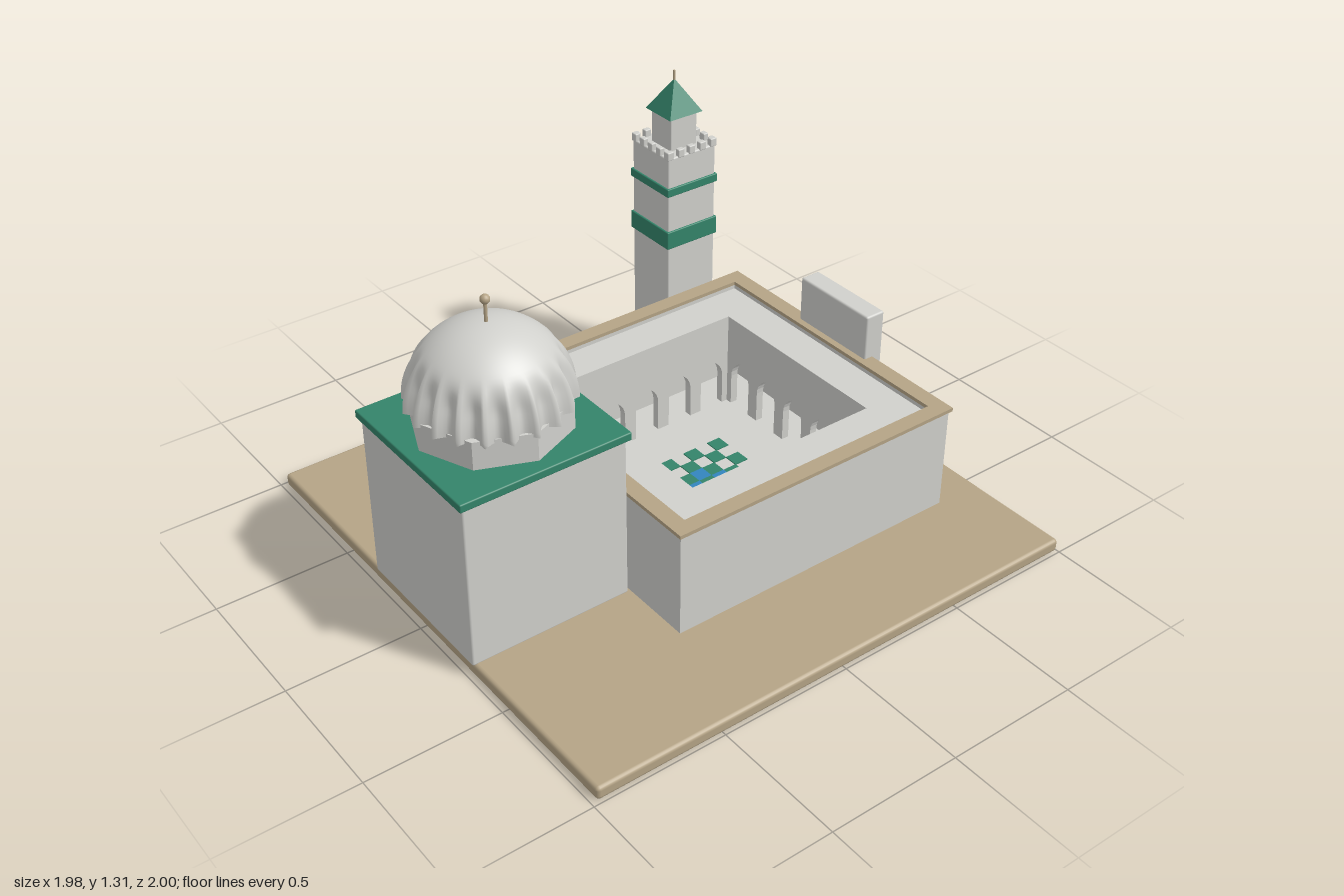
import * as THREE from 'three';
import { RoundedBoxGeometry } from 'three/addons/geometries/RoundedBoxGeometry.js';

const mat = (name, color) => {
  const m = new THREE.MeshStandardMaterial({ color });
  m.name = name;
  return m;
};

export function createModel() {
  const stone = mat('pale stone', 0xd0d0cc);
  const green = mat('green tile', 0x34846a);
  const tan = mat('sandstone', 0xb5a486);
  const blue = mat('blue tile', 0x3385bd);
  const wood = mat('dark wood', 0x3c2217);

  const model = new THREE.Group();
  model.name = 'courtyardBuilding';

  const add = (name, geo, material, x = 0, y = 0, z = 0, parent = model) => {
    const mesh = new THREE.Mesh(geo, material);
    mesh.name = name;
    mesh.position.set(x, y, z);
    parent.add(mesh);
    return mesh;
  };
  // Box given by its size, centre x and z, and bottom and top heights; r bevels the edges
  const block = (name, material, w, d, y0, y1, x, z, r = 0, parent = model) => add(name,
    r ? new RoundedBoxGeometry(w, y1 - y0, d, 2, r) : new THREE.BoxGeometry(w, y1 - y0, d),
    material, x, (y0 + y1) / 2, z, parent);
  const group = (name, x, z) => {
    const g = new THREE.Group();
    g.name = name;
    g.position.set(x, 0, z);
    model.add(g);
    return g;
  };
  const rect = (P, w, d) => {
    const p = new P();
    p.moveTo(-w, -d); p.lineTo(w, -d); p.lineTo(w, d); p.lineTo(-w, d); p.closePath();
    return p;
  };
  // Horizontal rectangular ring from half sizes
  const frame = (name, material, ow, od, iw, id, y0, y1, parent) => {
    const s = rect(THREE.Shape, ow, od);
    s.holes.push(rect(THREE.Path, iw, id));
    const g = new THREE.ExtrudeGeometry(s, { depth: y1 - y0, bevelEnabled: false });
    g.rotateX(-Math.PI / 2);
    add(name, g, material, 0, y0, 0, parent);
  };

  // Ground slab
  block('groundSlab', tan, 1.98, 1.98, 0, 0.05, 0, -0.01, 0.014);

  // Courtyard: outer walls, coping, gallery roof and floor
  const court = group('courtyard', 0, -0.2275);
  frame('outerWalls', stone, 0.585, 0.588, 0.535, 0.535, 0.05, 0.45, court);
  frame('wallCoping', tan, 0.595, 0.597, 0.535, 0.535, 0.45, 0.464, court);
  frame('galleryRoof', stone, 0.536, 0.536, 0.385, 0.385, 0.4, 0.435, court);
  block('courtyardFloor', stone, 1.07, 1.07, 0.045, 0.056, 0, 0, 0, court);

  // Arcade wall with pointed arches, repeated on four sides
  const arcade = new THREE.Shape();
  const half = 0.385, arches = 5, bay = (2 * half) / arches, open = 0.052;
  arcade.moveTo(-half, 0);
  for (let i = 0; i < arches; i++) {
    const c = -half + bay * (i + 0.5);
    arcade.lineTo(c - open, 0);
    arcade.lineTo(c - open, 0.13);
    arcade.quadraticCurveTo(c - open, 0.18, c, 0.21);
    arcade.quadraticCurveTo(c + open, 0.18, c + open, 0.13);
    arcade.lineTo(c + open, 0);
  }
  arcade.lineTo(half, 0);
  arcade.lineTo(half, 0.36);
  arcade.lineTo(-half, 0.36);
  const arcadeGeo = new THREE.ExtrudeGeometry(arcade,
    { depth: 0.03, bevelEnabled: false, curveSegments: 5 });
  arcadeGeo.translate(0, 0.05, -half - 0.03);
  for (let i = 0; i < 4; i++) {
    add('arcade', arcadeGeo, stone, 0, 0, 0, court).rotation.y = i * Math.PI / 2;
  }

  // Chequered floor tiles with four blue ones round the centre
  const cell = 0.0565;
  for (let i = -3; i <= 3; i++) {
    for (let j = -3; j <= 3; j++) {
      const isBlue = Math.abs(i) + Math.abs(j) === 1;
      if ((i + j) % 2 !== 0 && !isBlue) continue;
      block(isBlue ? 'blueTile' : 'greenTile', isBlue ? blue : green,
        cell, cell, 0.054, 0.06, i * cell, j * cell, 0, court);
    }
  }

  // Back portal with tiled surround and door
  block('portal', stone, 0.36, 0.082, 0.05, 0.64, 0, -0.829, 0.008);
  block('portalSurround', green, 0.26, 0.012, 0.05, 0.45, 0, -0.872);
  block('door', wood, 0.14, 0.008, 0.05, 0.335, 0, -0.879);

  // Prayer hall
  const hall = group('prayerHall', 0, 0.677);
  block('hallWalls', stone, 0.618, 0.618, 0.045, 0.68, 0, 0, 0.008, hall);
  block('hallCornice', green, 0.644, 0.644, 0.675, 0.706, 0, 0, 0.005, hall);
  const drum = new THREE.CylinderGeometry(0.272, 0.272, 0.11, 8).toNonIndexed();
  drum.computeVertexNormals();
  add('domeDrum', drum, stone, 0, 0.755, 0, hall);

  // Dome: half sphere whose lower part is fluted
  const R = 0.285, lobes = 20;
  const dome = new THREE.SphereGeometry(R, lobes * 8, 28, 0, Math.PI * 2, 0, Math.PI / 2);
  const p = dome.attributes.position;
  for (let i = 0; i < p.count; i++) {
    const x = p.getX(i), z = p.getZ(i), h = p.getY(i) / R;
    const fade = 1 - THREE.MathUtils.smoothstep(h, 0.3, 0.72);
    const flute = Math.abs(Math.sin(Math.atan2(z, x) * lobes / 2));
    const k = 1 - 0.13 * fade * flute;
    p.setX(i, x * k);
    p.setZ(i, z * k);
  }
  dome.computeVertexNormals();
  add('flutedDome', dome, stone, 0, 0.797, 0, hall);
  const under = new THREE.CircleGeometry(0.262, 40);
  under.rotateX(Math.PI / 2);
  add('domeUnderside', under, stone, 0, 0.797, 0, hall);
  add('finialRod', new THREE.CylinderGeometry(0.006, 0.006, 0.09, 10), tan, 0, 1.12, 0, hall);
  add('finialBall', new THREE.SphereGeometry(0.017, 16, 10), tan, 0, 1.162, 0, hall);

  // Minaret
  const tower = group('minaret', -0.748, -0.627);
  block('towerShaft', stone, 0.22, 0.22, 0.045, 1.02, 0, 0, 0.006, tower);
  block('wideBand', green, 0.234, 0.234, 0.645, 0.718, 0, 0, 0.004, tower);
  block('narrowBand', green, 0.234, 0.234, 0.866, 0.9, 0, 0, 0.004, tower);
  for (let side = 0; side < 4; side++) {
    const row = new THREE.Group();
    row.name = 'battlements';
    row.rotation.y = side * Math.PI / 2;
    tower.add(row);
    for (let i = 0; i < 5; i++) {
      block('merlon', stone, 0.028, 0.022, 1.015, 1.048, -0.1 + i * 0.05, 0.103, 0.004, row);
    }
  }
  block('turret', stone, 0.12, 0.12, 1.01, 1.155, 0, 0, 0.004, tower);
  const spire = new THREE.ConeGeometry(0.075 * Math.SQRT2, 0.125, 4, 1).toNonIndexed();
  spire.rotateY(Math.PI / 4);
  spire.computeVertexNormals();
  add('spireRoof', spire, green, 0, 1.2145, 0, tower);
  add('spireRod', new THREE.CylinderGeometry(0.004, 0.004, 0.06, 8), tan, 0, 1.28, 0, tower);

  return model;
}
